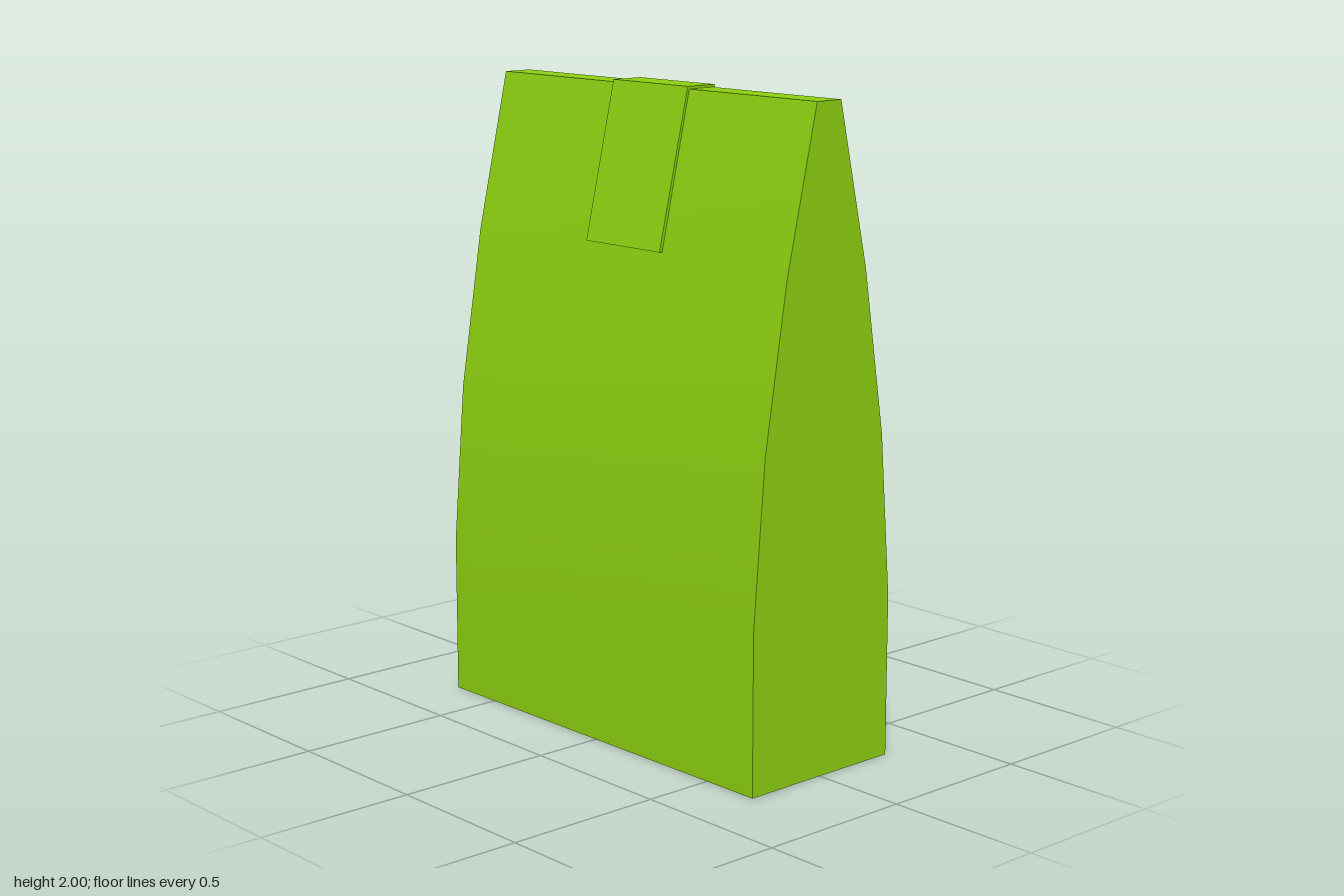
import * as THREE from 'three';
import { toCreasedNormals } from 'three/addons/utils/BufferGeometryUtils.js';

const material = new THREE.MeshStandardMaterial({ color: 0x8cd010 });

// Mirrors a right-hand [x, y] outline and extrudes it along z, centred on z = 0
function mirroredPrism(name, half, depth) {
  const left = half.map(([x, y]) => [-x, y]).reverse();
  const shape = new THREE.Shape([...half, ...left].map(([x, y]) => new THREE.Vector2(x, y)));
  const geometry = new THREE.ExtrudeGeometry(shape, { depth, bevelEnabled: false });
  geometry.translate(0, 0, -depth / 2);
  const mesh = new THREE.Mesh(toCreasedNormals(geometry, 0.5), material);
  mesh.name = name;
  return mesh;
}

export function createModel() {
  const model = new THREE.Group();
  model.name = 'paperBag';

  // Bag body: straight base, sides curving in to a narrow closed top
  const body = mirroredPrism('bagBody', [
    [0.28, 0], [0.28, 0.5], [0.24, 1], [0.16, 1.5], [0.048, 1.992],
  ], 1.38);

  // Closing tab folded over the top, standing slightly proud on both sides
  const tab = mirroredPrism('closingTab', [[0.166, 1.52], [0.054, 2]], 0.33);

  model.add(body, tab);
  model.rotation.y = 0.005;
  return model;
}
